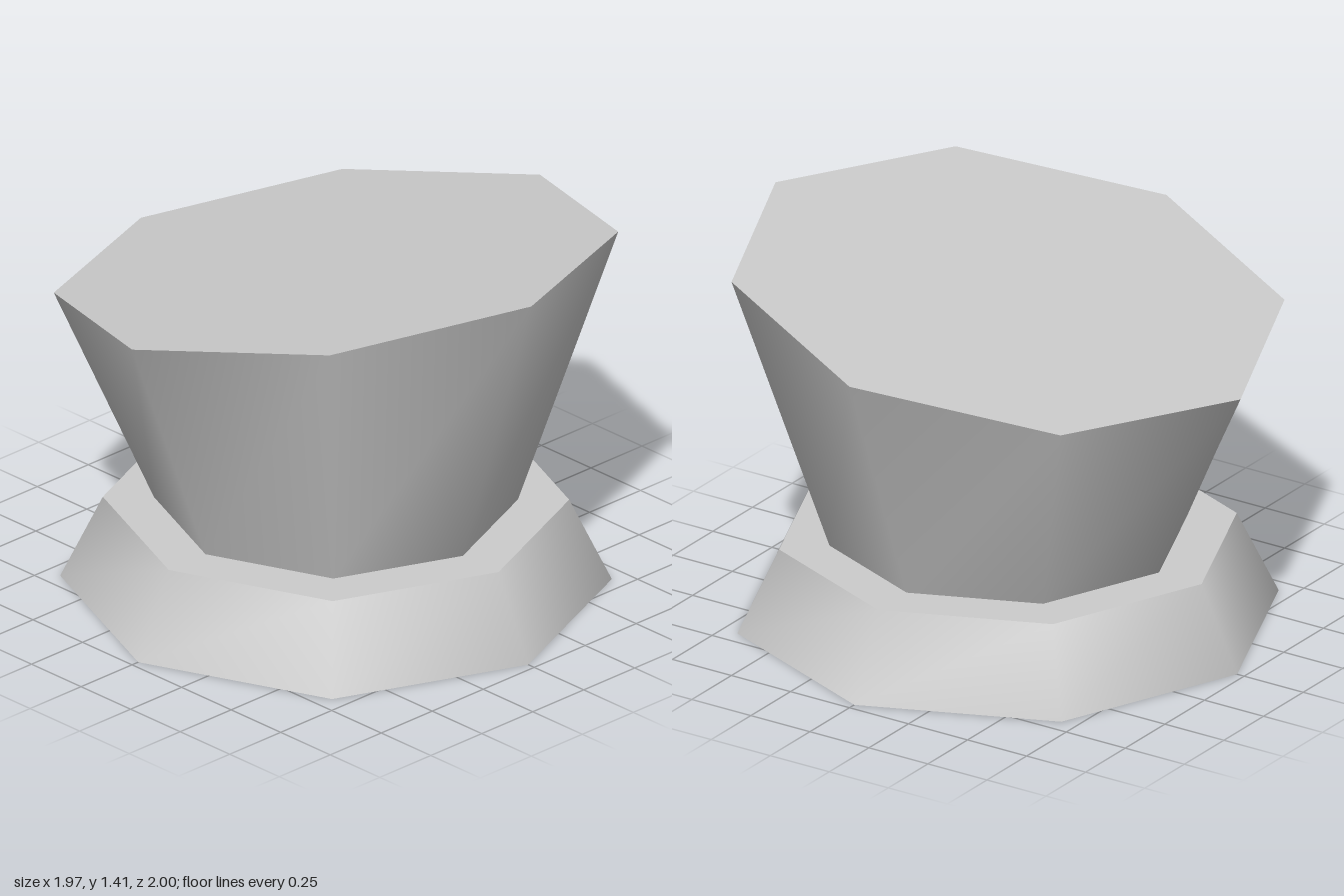
import * as THREE from 'three';
import { toCreasedNormals } from 'three/addons/utils/BufferGeometryUtils.js';

const SIDES = 8;
const BASE_HEIGHT = 0.31;
const TILT = THREE.MathUtils.degToRad(10);

export function createModel() {
  const model = new THREE.Group();
  model.name = 'pedestal';

  const grey = new THREE.MeshStandardMaterial({ color: 0xcccccc });
  grey.name = 'light grey';

  // Smooth round the sides, sharp at the rims
  const addPart = (name, geometry) => {
    const mesh = new THREE.Mesh(toCreasedNormals(geometry, Math.PI / 3), grey);
    mesh.name = name;
    model.add(mesh);
  };

  // Octagonal base, narrowing upwards
  const base = new THREE.CylinderGeometry(0.82, 0.97, BASE_HEIGHT, SIDES);
  base.translate(0, BASE_HEIGHT / 2, 0);
  addPart('base', base);

  // Flared body whose top ring is tilted up towards +x
  const topHeight = 1.235;
  const height = topHeight - BASE_HEIGHT;
  const body = new THREE.CylinderGeometry(1, 0.64, height, SIDES);
  body.translate(0, BASE_HEIGHT + height / 2, 0);
  const position = body.attributes.position;
  for (let i = 0; i < position.count; i++) {
    if (position.getY(i) < topHeight - 0.01) continue;
    const x = position.getX(i);
    position.setX(i, x * Math.cos(TILT));
    position.setY(i, topHeight + x * Math.sin(TILT));
  }
  addPart('body', body);

  return model;
}
